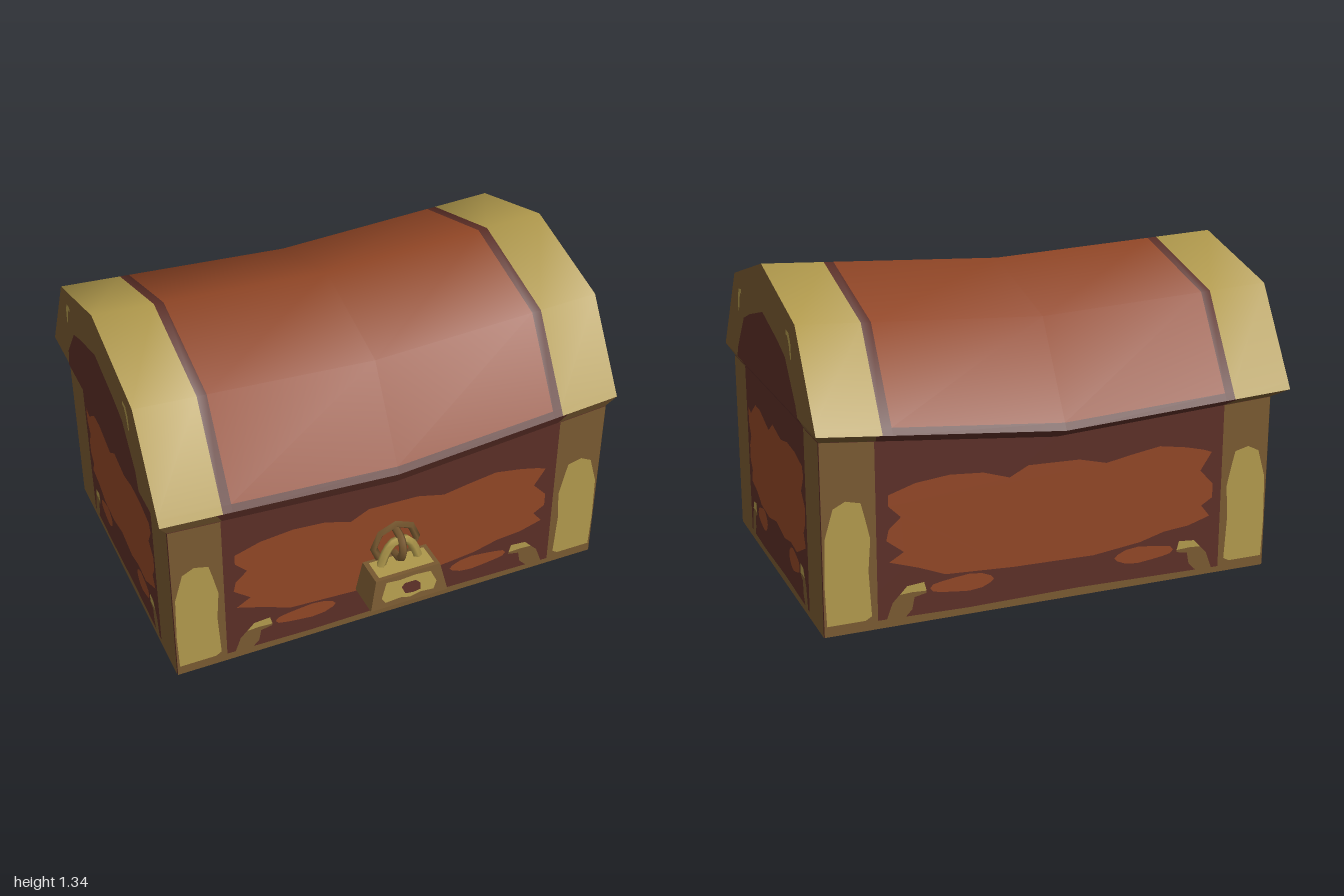
import * as THREE from 'three';

const mat = (name, color) => {
  const m = new THREE.MeshStandardMaterial({ color, side: THREE.DoubleSide });
  m.name = name;
  return m;
};

// Main dimensions
const BX = 0.965, BZ = 0.66, BODY_Z = -0.03;      // body half sizes and centre
const LZ = 0.72, LID_Z = -0.065;                  // lid half depth and centre
const rimY = x => 0.745 + 0.075 * Math.abs(x) + 0.02 * x;
const shoulderY = x => 1.145 + 0.055 * Math.abs(x) + 0.005 * x;
const peakY = x => 1.285 + 0.05 * Math.abs(x) + 0.005 * x;
const wallTop = x => rimY(x) - 0.053;

const mirror = pts => pts.map(([x, y]) => [-x, y]);
const toShape = pts => new THREE.Shape(pts.map(p => new THREE.Vector2(...p)));
const ellipse = (cx, cy, rx, ry) => Array.from({ length: 14 }, (_, i) => {
  const a = i / 14 * Math.PI * 2;
  return [cx + rx * Math.cos(a), cy + ry * Math.sin(a) * (1 + 0.15 * Math.cos(3 * a))];
});

// Worn wood panels
const FRONT_PANEL = [[-.70, .545], [-.59, .58], [-.45, .595], [-.31, .585], [-.2, .55], [-.12, .59], [.1, .585],
  [.22, .555], [.33, .575], [.46, .595], [.58, .575], [.66, .555], [.70, .54], [.65, .465], [.71, .40], [.71, .34],
  [.66, .31], [.70, .26], [.6, .23], [.49, .22], [.38, .19], [.17, .165], [-.18, .17], [-.47, .185], [-.58, .23],
  [-.70, .27], [-.64, .305], [-.71, .36], [-.70, .405], [-.65, .45], [-.70, .5]];
const END_PANEL = [[-.44, .61], [-.395, .595], [-.31, .655], [-.23, .655], [-.09, .61], [-.02, .655], [.11, .63],
  [.21, .65], [.32, .645], [.425, .62], [.44, .58], [.40, .51], [.45, .455], [.445, .39], [.415, .34], [.44, .285],
  [.36, .245], [.30, .215], [.21, .225], [.11, .205], [-.02, .23], [-.14, .205], [-.27, .215], [-.345, .255],
  [-.43, .275], [-.41, .33], [-.44, .37], [-.44, .435], [-.41, .485], [-.44, .54]];
// Curled bracket and its bright cap, measured from the post edge
const HOOK = [[.03, .02], [.06, .1], [.12, .16], [.19, .165], [.2, .12], [.15, .11], [.14, .06], [.1, .02]];
const CAP = [[.09, .13], [.12, .162], [.19, .168], [.2, .13], [.14, .133]];
const POST_PATCH = [[.775, .06], [.80, .045], [.955, .045], [.96, .2], [.955, .4], [.92, .52], [.87, .545],
  [.81, .53], [.795, .47], [.775, .38], [.785, .25]];

export function createModel() {
  const root = new THREE.Group();
  root.name = 'treasureChest';
  const gold = mat('gold', 0xae974b), brown = mat('bronze', 0x775830);
  const maroon = mat('darkWood', 0x5a2e26), orange = mat('wornWood', 0x8f4525);

  const add = (parent, name, geo, material) => {
    const m = new THREE.Mesh(geo, material);
    m.name = name;
    parent.add(m);
    return m;
  };
  // Flat shape in a wall's plane; painted layers appear on both sides of the wall
  const paint = (parent, name, pts, material, layer = 1) => {
    for (const side of layer ? [1, -1] : [1]) {
      add(parent, name, new THREE.ShapeGeometry(toShape(pts)), material).position.z = side * layer * 0.003;
    }
  };
  const paintPair = (parent, name, pts, material, layer) => {
    paint(parent, name, pts, material, layer);
    paint(parent, name, mirror(pts), material, layer);
  };
  const wallGroup = (name, x, z, angle) => {
    const g = new THREE.Group();
    g.name = name;
    g.position.set(x, 0, z);
    g.rotation.y = angle;
    root.add(g);
    return g;
  };

  // Walls: half width w, post edge e, top height as a function of local x
  const buildWall = (g, w, e, top, panel, hookX, hookY) => {
    paint(g, 'wall', [[-w, 0], [w, 0], [w, top(w)], [0, top(0)], [-w, top(-w)]], maroon, 0);
    for (const s of [-1, 1]) {
      paint(g, 'cornerPost', [[s * e, 0], [s * w, 0], [s * w, top(s * w)], [s * e, top(s * e)]], brown);
    }
    paint(g, 'bottomTrim', [[-e, 0], [e, 0], [e, .025], [.1, .035], [-e * .5, .028], [-e, .035]], brown);
    paint(g, 'wornPanel', panel, orange);
    const place = pts => pts.map(([x, y]) => [-e + x * hookX, y * hookY]);
    paintPair(g, 'curledBracket', place(HOOK), brown, 1.5);
    paintPair(g, 'bracketCap', place(CAP), gold, 2);
  };
  for (const s of [1, -1]) {
    const g = wallGroup(s > 0 ? 'frontWall' : 'backWall', 0, BODY_Z + s * BZ, s > 0 ? 0 : Math.PI);
    buildWall(g, BX, 0.75, x => wallTop(s * x * 1 / BX), FRONT_PANEL, 1, 1);
    paintPair(g, 'postPatch', POST_PATCH, gold, 2);
    paintPair(g, 'wornPatch', ellipse(0.4, 0.135, 0.135, 0.034), orange, 1);

    const end = wallGroup(s > 0 ? 'leftWall' : 'rightWall', s * BX, BODY_Z, s * Math.PI / 2);
    buildWall(end, BZ, 0.465, () => wallTop(s), END_PANEL, 0.55, 1.15);
    paintPair(end, 'wornPatch', ellipse(0.255, 0.16, 0.08, 0.046), orange, 1);

    // Lid gable with inset panel and bright crescents
    const gable = wallGroup('lidGable', s, LID_Z, s * Math.PI / 2);
    paint(gable, 'gableFrame', [[-LZ, rimY(s)], [LZ, rimY(s)], [.48, shoulderY(s)], [0, peakY(s)], [-.48, shoulderY(s)]], brown, 0);
    paint(gable, 'gablePanel', [[-.485, rimY(s)], [.485, rimY(s)], [.46, .89], [.33, 1.045], [.22, 1.085], [0, 1.145],
      [-.22, 1.085], [-.33, 1.045], [-.46, .89]], maroon);
    paintPair(gable, 'crescent', [[.355, 1.14], [.36, 1.16], [.40, 1.155], [.42, 1.12], [.425, 1.055], [.41, 1.055],
      [.395, 1.11], [.375, 1.14]], gold, 1);
  }

  // Curved lid: a grid of columns across x and rows over the arch, coloured by cell
  const cols = [-1, -.745, -.705, 0, .705, .745, 1];
  const strip = 0.07;
  const rows = [
    [LZ, rimY], [LZ + (.48 - LZ) * strip, x => rimY(x) + (shoulderY(x) - rimY(x)) * strip], [.48, shoulderY], [0, peakY]];
  const arch = [...rows, ...rows.slice(0, 3).reverse().map(([z, f]) => [-z, f])];
  const pos = [], idx = [], lid = new THREE.BufferGeometry();
  for (const [z, f] of arch) for (const x of cols) pos.push(x, f(x), LID_Z + z);
  const n = cols.length;
  for (let r = 0; r < arch.length - 1; r++) {
    for (let c = 0; c < n - 1; c++) {
      const a = r * n + c, b = a + n;
      const edgeRow = r === 0 || r === arch.length - 2;
      const m = c === 0 || c === 5 ? 0 : c === 1 || c === 4 || edgeRow ? 1 : 2;
      lid.addGroup(idx.length, 6, m);
      idx.push(a, a + 1, b + 1, a, b + 1, b);
    }
  }
  lid.setAttribute('position', new THREE.Float32BufferAttribute(pos, 3));
  lid.setIndex(idx);
  lid.computeVertexNormals();
  add(root, 'lid', lid, [gold, maroon, orange]);

  // Sloping underside of the lid rim, all the way round
  const loop = [];
  const xs = [-1, -.77, 0, .77, 1], zs = [1, .69, -.69, -1];
  xs.forEach(x => loop.push([x, 1]));
  zs.slice(1).forEach(z => loop.push([1, z]));
  xs.slice(0, 4).reverse().forEach(x => loop.push([x, -1]));
  zs.slice(0, 3).reverse().forEach(z => loop.push([-1, z]));
  const rim = new THREE.BufferGeometry(), rp = [];
  for (let i = 0; i < loop.length - 1; i++) {
    const [p, q] = [loop[i], loop[i + 1]];
    const out = ([x, z]) => [x, rimY(x), LID_Z + z * LZ];
    const inn = ([x, z]) => [x * BX, wallTop(x), BODY_Z + z * BZ];
    const corner = [p, q].some(([x, z]) => Math.abs(x) === 1 && Math.abs(z) === 1);
    rim.addGroup(rp.length / 3, 6, corner ? 0 : 1);
    rp.push(...out(p), ...inn(p), ...inn(q), ...out(p), ...inn(q), ...out(q));
  }
  rim.setAttribute('position', new THREE.Float32BufferAttribute(rp, 3));
  rim.computeVertexNormals();
  add(root, 'lidUnderside', rim, [brown, maroon]);

  // Padlock
  const lock = new THREE.Group();
  lock.name = 'padlock';
  lock.position.z = BODY_Z + BZ;
  root.add(lock);
  const bodyGeo = new THREE.ExtrudeGeometry(toShape([[-.175, .18], [.175, .18], [.145, .315], [-.145, .315]]),
    { depth: 0.155, bevelEnabled: false });
  const bp = bodyGeo.attributes.position;
  for (let i = 0; i < bp.count; i++) if (bp.getY(i) > 0.3 && bp.getZ(i) > 0.1) bp.setZ(i, 0.135);
  bodyGeo.computeVertexNormals();
  add(lock, 'lockBody', bodyGeo, brown);
  const face = new THREE.Group();
  face.name = 'lockFace';
  face.position.set(0, 0.18, 0.155);
  face.rotation.x = -Math.atan2(0.02, 0.135);
  lock.add(face);
  paint(face, 'facePatch', [[-.125, .05], [-.11, .025], [-.04, .03], [0, .02], [.05, .03], [.11, .025], [.125, .06],
    [.10, .115], [.03, .12], [-.04, .115], [-.10, .12]], gold);
  paint(face, 'keyhole', [[-.035, .08], [-.02, .045], [.015, .04], [.05, .045], [.05, .075], [.03, .095], [-.02, .095]], maroon, 2);
  const topPlate = add(lock, 'topPatch', new THREE.PlaneGeometry(0.25, 0.1), gold);
  topPlate.rotation.x = -Math.PI / 2;
  topPlate.position.set(0, 0.318, 0.07);

  // Wall ring, staple and shackle
  const ring = add(lock, 'wallRing', new THREE.TorusGeometry(0.098, 0.017, 4, 8), brown);
  ring.position.set(0, 0.378, 0.008);
  const tube = (name, pts, r, m) => add(lock, name, new THREE.TubeGeometry(
    new THREE.CatmullRomCurve3(pts.map(p => new THREE.Vector3(...p))), 10, r, 5), m);
  tube('staple', [[0, .455, 0], [0, .44, .06], [0, .39, .085], [0, .335, .06], [0, .32, 0]], 0.018, brown);
  tube('shackle', [[-.085, .31, .05], [-.06, .38, .05], [-.03, .42, .05], [.03, .42, .05], [.06, .38, .05], [.085, .31, .05]], 0.02, gold);
  return root;
}
